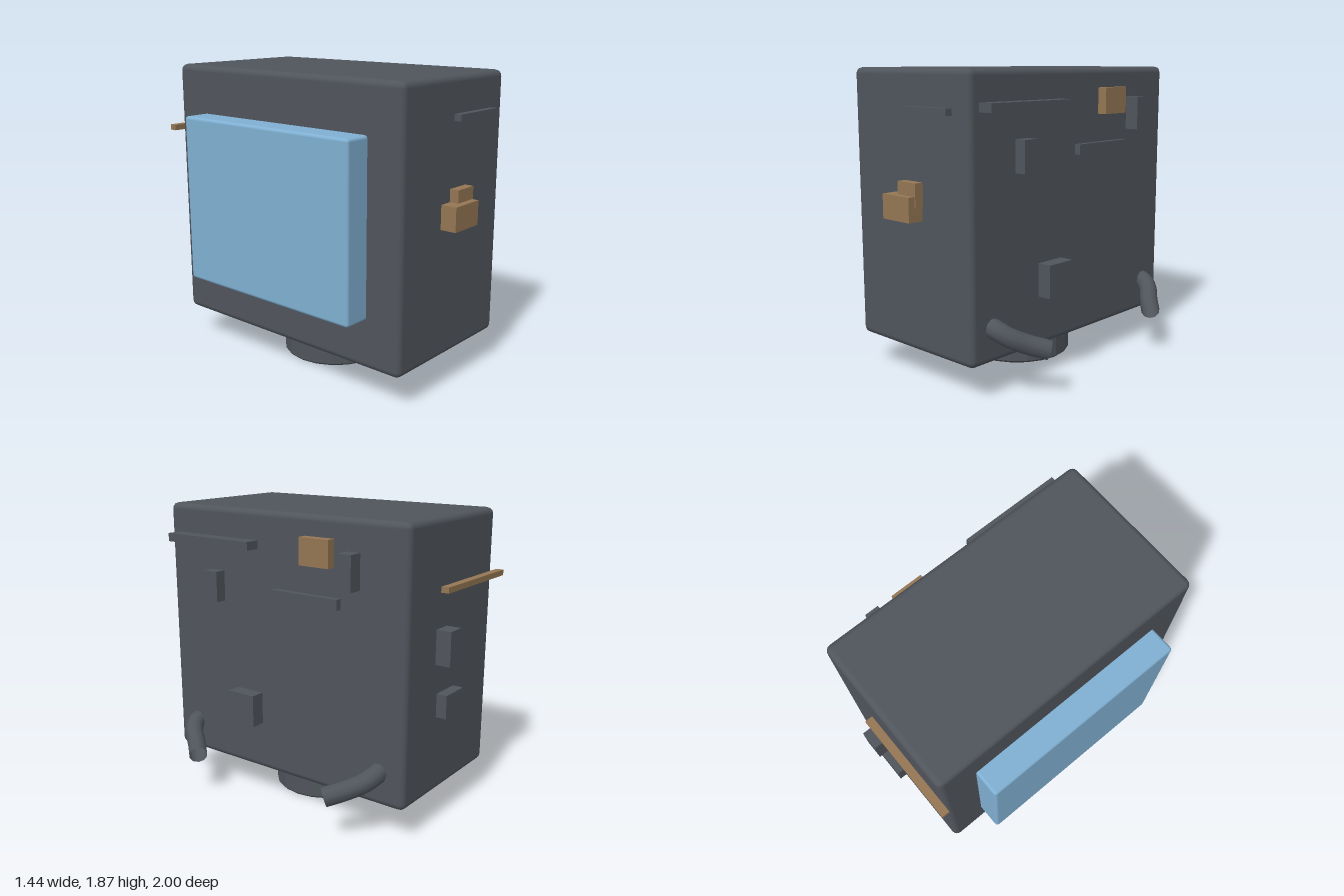
import * as THREE from 'three';
import { RoundedBoxGeometry } from 'three/addons/geometries/RoundedBoxGeometry.js';

const darkGrey = new THREE.MeshStandardMaterial({ color: 0x50555c });
darkGrey.name = 'darkGrey';
darkGrey.side = THREE.DoubleSide; // open pipe ends
const blue = new THREE.MeshStandardMaterial({ color: 0x80b0d3 });
blue.name = 'blue';
const brown = new THREE.MeshStandardMaterial({ color: 0x947654 });
brown.name = 'brown';

export function createModel() {
  const model = new THREE.Group();
  model.name = 'machineHousing';

  const add = (name, geometry, material) => {
    const mesh = new THREE.Mesh(geometry, material);
    mesh.name = name;
    model.add(mesh);
    return mesh;
  };

  // Box from its limits along each axis; a radius rounds the edges
  const box = (name, material, [x0, x1], [y0, y1], [z0, z1], radius = 0) => {
    const size = [x1 - x0, y1 - y0, z1 - z0];
    const geometry = radius
      ? new RoundedBoxGeometry(...size, 2, radius)
      : new THREE.BoxGeometry(...size);
    add(name, geometry, material).position.set((x0 + x1) / 2, (y0 + y1) / 2, (z0 + z1) / 2);
  };

  // Main housing and side panel
  box('housing', darkGrey, [-0.555, 0.45], [0.205, 1.868], [-0.905, 0.9], 0.04);
  box('sidePanel', blue, [-0.72, -0.53], [0.505, 1.567], [-0.67, 0.665], 0.02);

  // Round pedestal with slightly bevelled rims
  const profile = [[0, 0], [0.33, 0], [0.344, 0.014], [0.344, 0.19], [0.33, 0.205], [0, 0.205]]
    .map(([r, y]) => new THREE.Vector2(r, y));
  const pedestal = new THREE.LatheGeometry(profile, 20).toNonIndexed();
  pedestal.computeVertexNormals();
  add('pedestal', pedestal, darkGrey).position.x = -0.05;

  // Fittings on the left side
  const side = (name, material, x, y, z) => box(name, material, [0.43, x], y, z);
  side('longRail', darkGrey, 0.545, [1.633, 1.685], [0.158, 0.828]);
  side('shortRail', darkGrey, 0.49, [1.343, 1.407], [-0.46, 0.02]);
  side('brownSideBox', brown, 0.51, [1.58, 1.743], [-0.413, -0.205]);
  side('upperSideBox', darkGrey, 0.54, [1.47, 1.68], [-0.59, -0.5]);
  side('middleSideBox', darkGrey, 0.522, [1.28, 1.472], [0.44, 0.545]);
  side('lowerSideBox', darkGrey, 0.54, [0.518, 0.722], [0.145, 0.348]);

  // Fittings on the front
  box('frontRail', darkGrey, [-0.074, 0.316], [1.614, 1.653], [0.88, 0.945]);
  box('frontUpperBox', brown, [-0.093, 0.063], [1.085, 1.227], [0.88, 0.957]);
  box('frontLowerBox', brown, [-0.178, 0.055], [1.003, 1.15], [0.88, 1.0]);

  // Fittings on the back
  box('backRail', brown, [-0.61, 0.1], [1.44, 1.475], [-0.957, -0.908]);
  box('backUpperBox', darkGrey, [0.01, 0.13], [1.02, 1.23], [-1.0, -0.88]);
  box('backLowerBox', darkGrey, [-0.1, 0.1], [0.69, 0.835], [-0.972, -0.88]);

  // Bent pipes, mirrored front to back
  for (const [name, s] of [['frontPipe', 1], ['backPipe', -1]]) {
    const path = new THREE.CatmullRomCurve3([
      [0.4, 0.42, 0.73], [0.47, 0.405, 0.728], [0.53, 0.367, 0.69],
      [0.6, 0.318, 0.6], [0.677, 0.282, 0.51],
    ].map(([x, y, z]) => new THREE.Vector3(x, y, z * s)));
    add(name, new THREE.TubeGeometry(path, 16, 0.06, 10, false), darkGrey);
  }

  return model;
}
